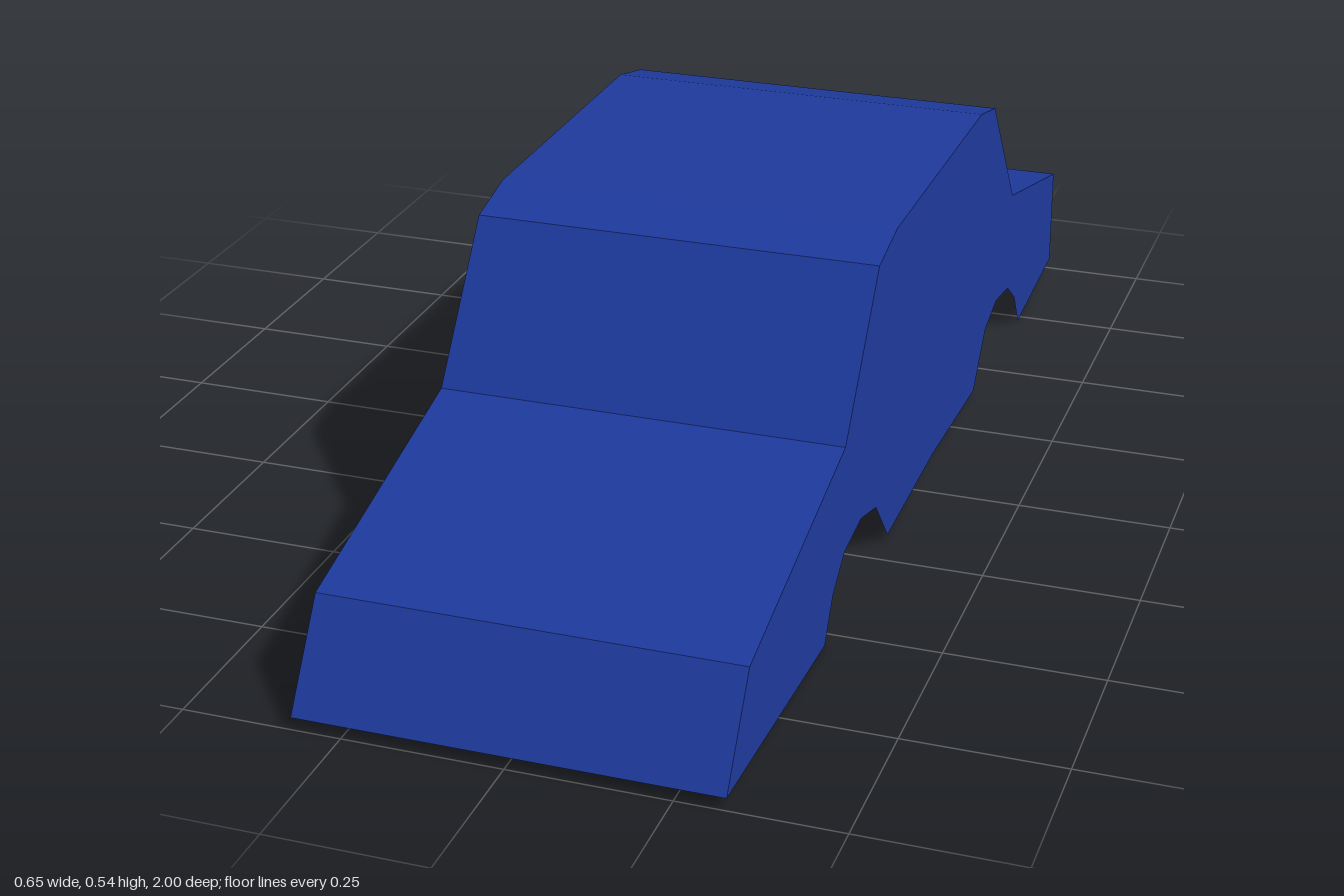
import * as THREE from 'three';

const HALF = 0.327;

// Upper outline of the body as [z, y], nose to tail
const upper = [
  [1, 0.02], [0.9, 0.17], [0.44, 0.287], [0.27, 0.512], [0.17, 0.535],
  [-0.37, 0.535], [-0.47, 0.512], [-0.64, 0.287], [-1, 0.197], [-1, 0.02],
];

// Lower edge with the wheel arches, tail to nose
const lower = [
  [-0.73, 0], [-0.69, 0.065], [-0.63, 0.108], [-0.54, 0.12], [-0.46, 0.097],
  [-0.385, 0.01], [-0.1, 0.02], [0.185, 0.01], [0.26, 0.097], [0.345, 0.12],
  [0.435, 0.108], [0.495, 0.065], [0.535, 0],
];

// One name for each span of the upper outline
const panelNames = [
  'nosePanel', 'hood', 'windscreen', 'roofFrontEdge', 'roof',
  'roofRearEdge', 'rearWindow', 'trunkLid', 'tailPanel',
];

export function createModel() {
  const group = new THREE.Group();
  group.name = 'carBodyShell';
  const paint = new THREE.MeshStandardMaterial({
    color: 0x1e3a9e, flatShading: true, side: THREE.DoubleSide,
  });

  const add = (name, geometry) => {
    const mesh = new THREE.Mesh(geometry, paint);
    mesh.name = name;
    group.add(mesh);
    return mesh;
  };

  // Flat panels across the width; the underside stays open
  panelNames.forEach((name, i) => {
    const [z0, y0] = upper[i];
    const [z1, y1] = upper[i + 1];
    const geometry = new THREE.BufferGeometry();
    geometry.setAttribute('position', new THREE.Float32BufferAttribute([
      -HALF, y0, z0, HALF, y0, z0, HALF, y1, z1, -HALF, y1, z1,
    ], 3));
    geometry.setIndex([0, 1, 2, 0, 2, 3]);
    geometry.computeVertexNormals();
    add(name, geometry);
  });

  // Thin side walls cut to the full outline
  const outline = new THREE.Shape([...upper, ...lower].map(([z, y]) => new THREE.Vector2(z, y)));
  const side = new THREE.ShapeGeometry(outline).rotateY(-Math.PI / 2);
  add('leftSide', side).position.x = HALF;
  add('rightSide', side).position.x = -HALF;

  return group;
}
